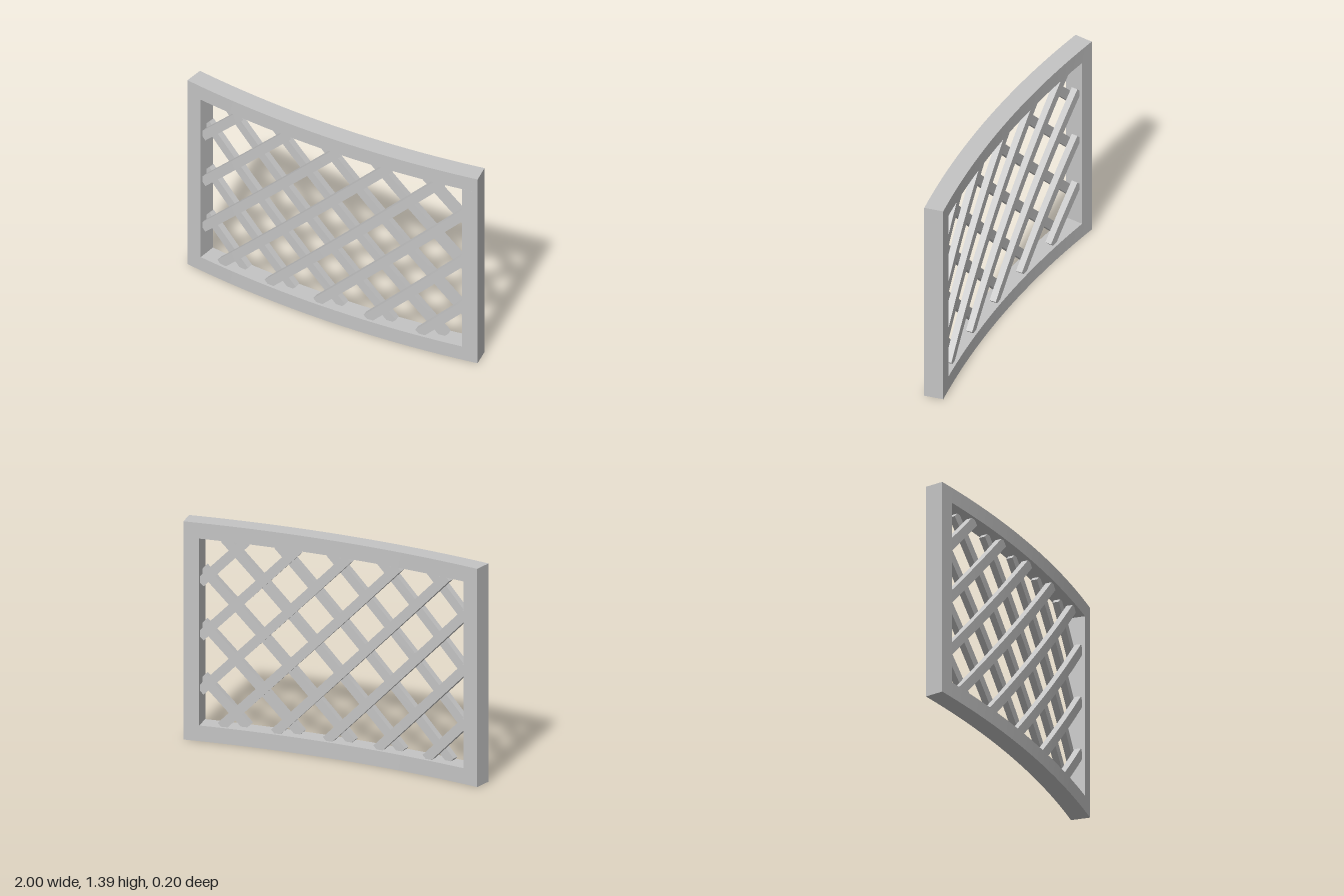
import * as THREE from 'three';

const RADIUS = 6.29;            // radius of the curved front face
const FRONT = 0.1;              // front face z at the middle
const HEIGHT = 1.39, BORDER = 0.1, DEPTH = 0.12;
const HALF_W = 1 - BORDER, HALF_H = HEIGHT / 2 - BORDER;

// Wrap a flat geometry around a vertical axis behind the panel
function bend(geometry) {
  const p = geometry.attributes.position;
  for (let i = 0; i < p.count; i++) {
    const r = RADIUS + p.getZ(i) - FRONT;
    const a = Math.asin(p.getX(i) / RADIUS);
    p.setX(i, r * Math.sin(a));
    p.setZ(i, r * Math.cos(a) + FRONT - RADIUS);
  }
  geometry.computeVertexNormals();
  return geometry;
}

export function createModel() {
  const model = new THREE.Group();
  model.name = 'curvedLatticePanel';
  const grey = new THREE.MeshStandardMaterial({ color: 0xc4c4c4 });
  grey.name = 'light grey';

  const add = (parent, name, geometry) => {
    const mesh = new THREE.Mesh(bend(geometry), grey);
    mesh.name = name;
    parent.add(mesh);
  };

  // Outer frame: two curved rails and two stiles
  const frame = new THREE.Group();
  frame.name = 'frame';
  model.add(frame);
  const zMid = FRONT - DEPTH / 2;
  for (const [name, y] of [['bottomRail', BORDER / 2], ['topRail', HEIGHT - BORDER / 2]]) {
    add(frame, name, new THREE.BoxGeometry(2, BORDER, DEPTH, 32, 1, 1).translate(0, y, zMid));
  }
  for (const [name, side] of [['rightStile', -1], ['leftStile', 1]]) {
    add(frame, name, new THREE.BoxGeometry(BORDER, 2 * HALF_H, DEPTH, 2, 1, 1)
      .translate(side * (1 - BORDER / 2), HEIGHT / 2, zMid));
  }

  // Two layers of diagonal slats, rising in front and falling behind
  const PITCH = 0.345, WIDTH = 0.06, THICK = 0.041;
  for (const [name, dir, z] of [['frontSlat', 1, 0.0615], ['backSlat', -1, 0.0205]]) {
    const layer = new THREE.Group();
    layer.name = name + 's';
    model.add(layer);
    for (let k = -4; k < 4; k++) {
      const c = (k + 0.5) * PITCH;
      const x0 = Math.max(-HALF_W, -HALF_H - c);
      const x1 = Math.min(HALF_W, HALF_H - 0.006 - c);
      const mid = (x0 + x1) / 2;
      const length = (x1 - x0) * Math.SQRT2;
      const slat = new THREE.BoxGeometry(length, WIDTH, THICK, Math.ceil(length * 10), 1, 1);
      slat.rotateZ(dir * Math.PI / 4).translate(dir * mid, HEIGHT / 2 + mid + c, z);
      add(layer, name, slat);
    }
  }
  return model;
}
